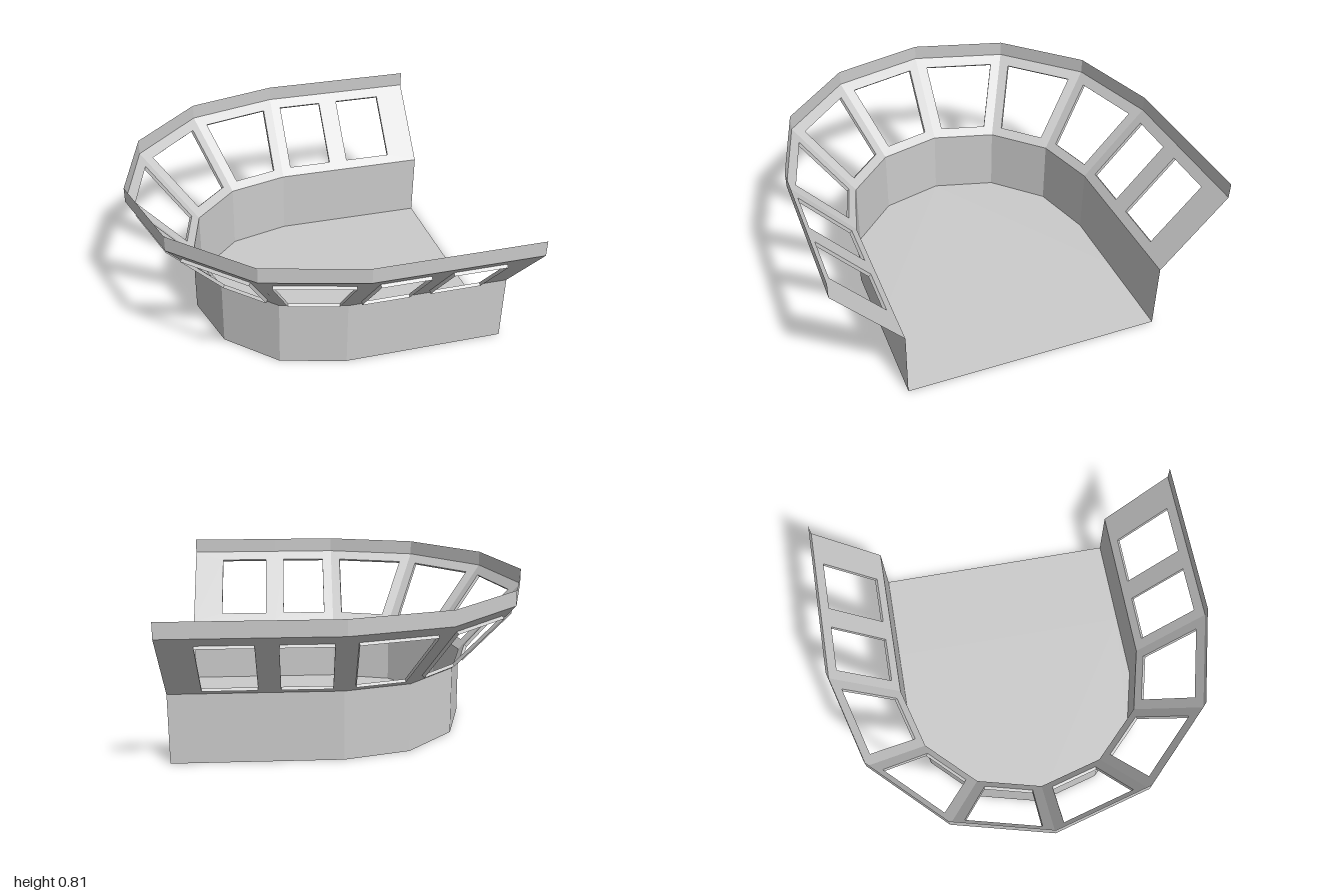
import * as THREE from 'three';
import { mergeGeometries } from 'three/addons/utils/BufferGeometryUtils.js';

const CENTRE_X = 0.07, END_X = 0.927, POST_X = 0.43;
const LOW_R = 0.67, HIGH_R = 1;
const SILL_Y = 0.36, HEAD_Y = 0.73, TOP_Y = 0.81;
const REVEAL = 0.018;

// Plan outline: straight side, half of a twelve-sided ring, straight side
function outline(r, y) {
  const pts = [[END_X, r], [POST_X, r]];
  for (let i = 0; i <= 6; i++) {
    const a = Math.PI / 2 + (i * Math.PI) / 6;
    pts.push([CENTRE_X + r * Math.cos(a), r * Math.sin(a)]);
  }
  pts.push([POST_X, -r], [END_X, -r]);
  return pts.map(([x, z]) => new THREE.Vector3(x, y, z));
}

// Flat panel between a lower and an upper edge, with an optional window
function panel(a0, b0, b1, a1, margins) {
  const u = b0.clone().sub(a0).normalize();
  const up = a1.clone().sub(a0);
  const v = up.clone().addScaledVector(u, -up.dot(u)).normalize();
  const n = u.clone().cross(v);
  const frame = new THREE.Matrix4().makeBasis(u, v, n).setPosition(a0);
  const flat = (p) => {
    const d = p.clone().sub(a0);
    return new THREE.Vector2(d.dot(u), d.dot(v));
  };
  const shape = new THREE.Shape([a0, b0, b1, a1].map(flat));
  const result = {};
  if (margins) {
    const corner = (from, to, t, m) => from.clone().lerp(to, t).addScaledVector(u, m);
    const win = [
      corner(a0, a1, 0.11, margins[0]), corner(b0, b1, 0.11, -margins[1]),
      corner(b0, b1, 0.88, -margins[1]), corner(a0, a1, 0.88, margins[0]),
    ];
    shape.holes.push(new THREE.Path(win.map(flat)));
    // Narrow reveal around the opening, towards the outside
    const pos = [];
    win.forEach((p, i) => {
      const q = win[(i + 1) % 4];
      const po = p.clone().addScaledVector(n, -REVEAL);
      const qo = q.clone().addScaledVector(n, -REVEAL);
      for (const c of [p, qo, q, p, po, qo]) pos.push(c.x, c.y, c.z);
    });
    result.reveal = new THREE.BufferGeometry();
    result.reveal.setAttribute('position', new THREE.Float32BufferAttribute(pos, 3));
    result.reveal.computeVertexNormals();
  }
  result.face = new THREE.ShapeGeometry(shape).applyMatrix4(frame);
  return result;
}

// Row of panels between two outlines
function band(lower, upper, marginsFor = () => null) {
  const panels = [];
  for (let i = 0; i < lower.length - 1; i++) {
    panels.push(panel(lower[i], lower[i + 1], upper[i + 1], upper[i], marginsFor(i)));
  }
  return panels;
}

export function createModel() {
  const group = new THREE.Group();
  const material = new THREE.MeshStandardMaterial({
    color: 0xcccccc, flatShading: true, side: THREE.DoubleSide,
  });
  const add = (name, geometry) => {
    const mesh = new THREE.Mesh(geometry, material);
    mesh.name = name;
    group.add(mesh);
  };

  const base = outline(LOW_R, 0), sill = outline(LOW_R, SILL_Y);
  const head = outline(HIGH_R, HEAD_Y), top = outline(HIGH_R, TOP_Y);

  // Floor
  const floor = new THREE.ShapeGeometry(
    new THREE.Shape(base.map((p) => new THREE.Vector2(p.x, -p.z))));
  add('floor', floor.rotateX(-Math.PI / 2));

  // Upright lower wall
  add('lowerWall', mergeGeometries(band(base, sill).map((p) => p.face)));

  // Outward leaning window wall; the end panels are wide and plain at the open end
  const last = base.length - 2;
  const windows = band(sill, head, (i) => {
    if (i === 0) return [0.172, 0.055];
    if (i === last) return [0.055, 0.172];
    return [0.055, 0.055];
  });
  add('windowWall', mergeGeometries(windows.map((p) => p.face)));
  add('windowReveals', mergeGeometries(windows.map((p) => p.reveal)));

  // Upright rim on top
  add('rim', mergeGeometries(band(head, top).map((p) => p.face)));

  return group;
}
